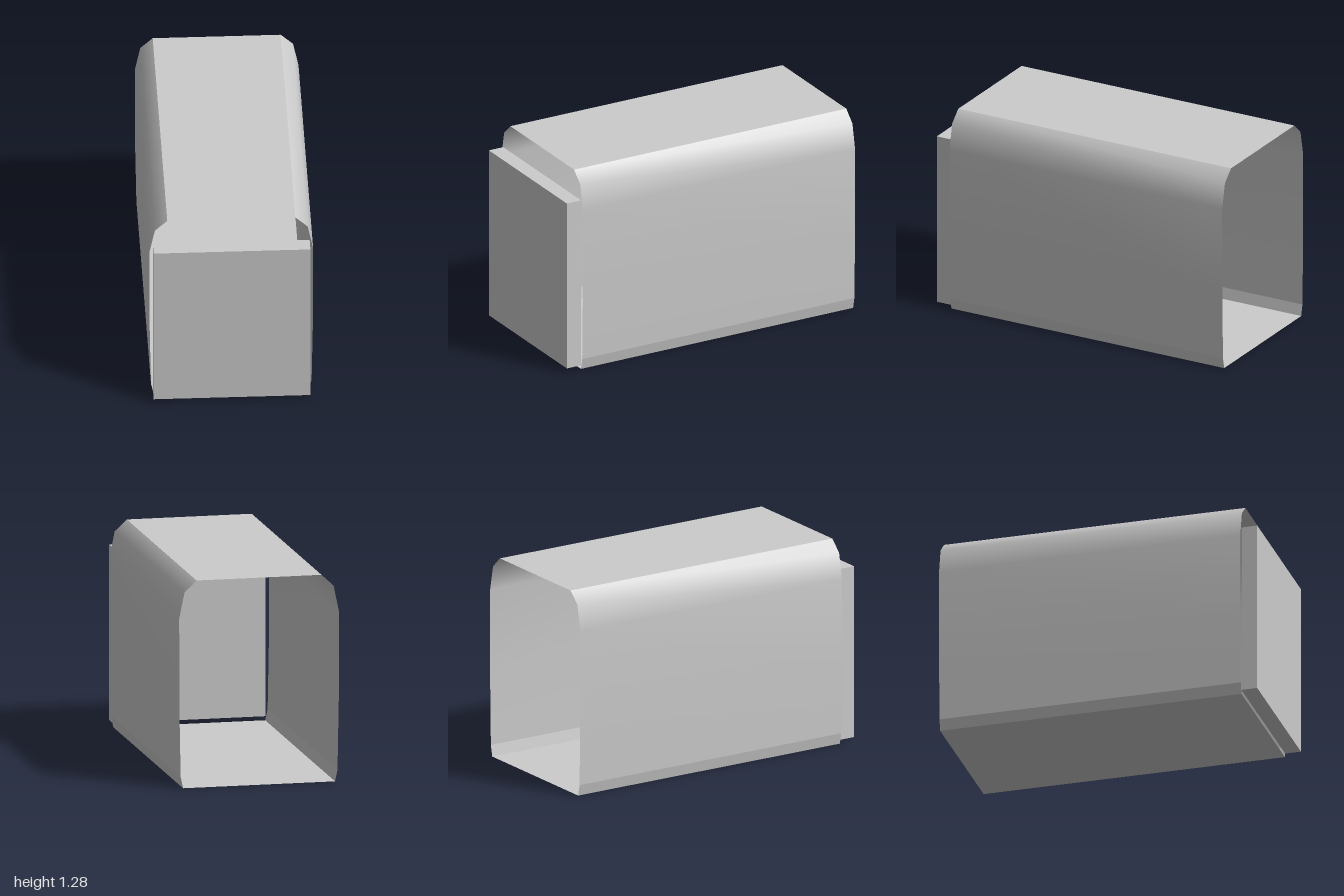
import * as THREE from 'three';

const BACK = -1, RIM = 0.9, FRONT = 1;

// Sheet swept along z from an outline running counterclockwise seen from the front;
// normals are smooth within one sheet and sharp between sheets
function sheet(name, outline, material) {
  const positions = [], index = [];
  outline.forEach(([x, y], i) => {
    positions.push(x, y, RIM, x, y, BACK);
    if (i > 0) {
      const a = 2 * (i - 1);
      index.push(a, a + 1, a + 2, a + 1, a + 3, a + 2);
    }
  });
  const geometry = new THREE.BufferGeometry();
  geometry.setAttribute('position', new THREE.Float32BufferAttribute(positions, 3));
  geometry.setIndex(index);
  geometry.computeVertexNormals();
  const mesh = new THREE.Mesh(geometry, material);
  mesh.name = name;
  return mesh;
}

const mirrored = (outline) => outline.map(([x, y]) => [-x, y]).reverse();

export function createModel() {
  const model = new THREE.Group();
  model.name = 'openSleeveWithFrontPanel';
  const gray = new THREE.MeshStandardMaterial({ color: 0xcccccc, side: THREE.DoubleSide });
  gray.name = 'light gray';

  // Thin sleeve, open at both ends
  const sleeve = new THREE.Group();
  sleeve.name = 'sleeve';
  const lowerBevel = [[0.472, 0], [0.487, 0.07]];
  const wall = [[0.487, 0.07], [0.495, 0.5], [0.496, 1.05], [0.463, 1.21], [0.388, 1.28]];
  sleeve.add(
    sheet('floor', [[-0.472, 0], [0.472, 0]], gray),
    sheet('roof', [[0.388, 1.28], [-0.388, 1.28]], gray),
    sheet('leftLowerBevel', lowerBevel, gray),
    sheet('rightLowerBevel', mirrored(lowerBevel), gray),
    sheet('leftWall', wall, gray),
    sheet('rightWall', mirrored(wall), gray),
  );
  model.add(sleeve);

  // Slab standing just in front of the sleeve's opening
  const panel = new THREE.Mesh(new THREE.BoxGeometry(0.95, 1.085, FRONT - RIM), gray);
  panel.name = 'frontPanel';
  panel.position.set(0, 0.5675, (FRONT + RIM) / 2);
  model.add(panel);

  return model;
}
